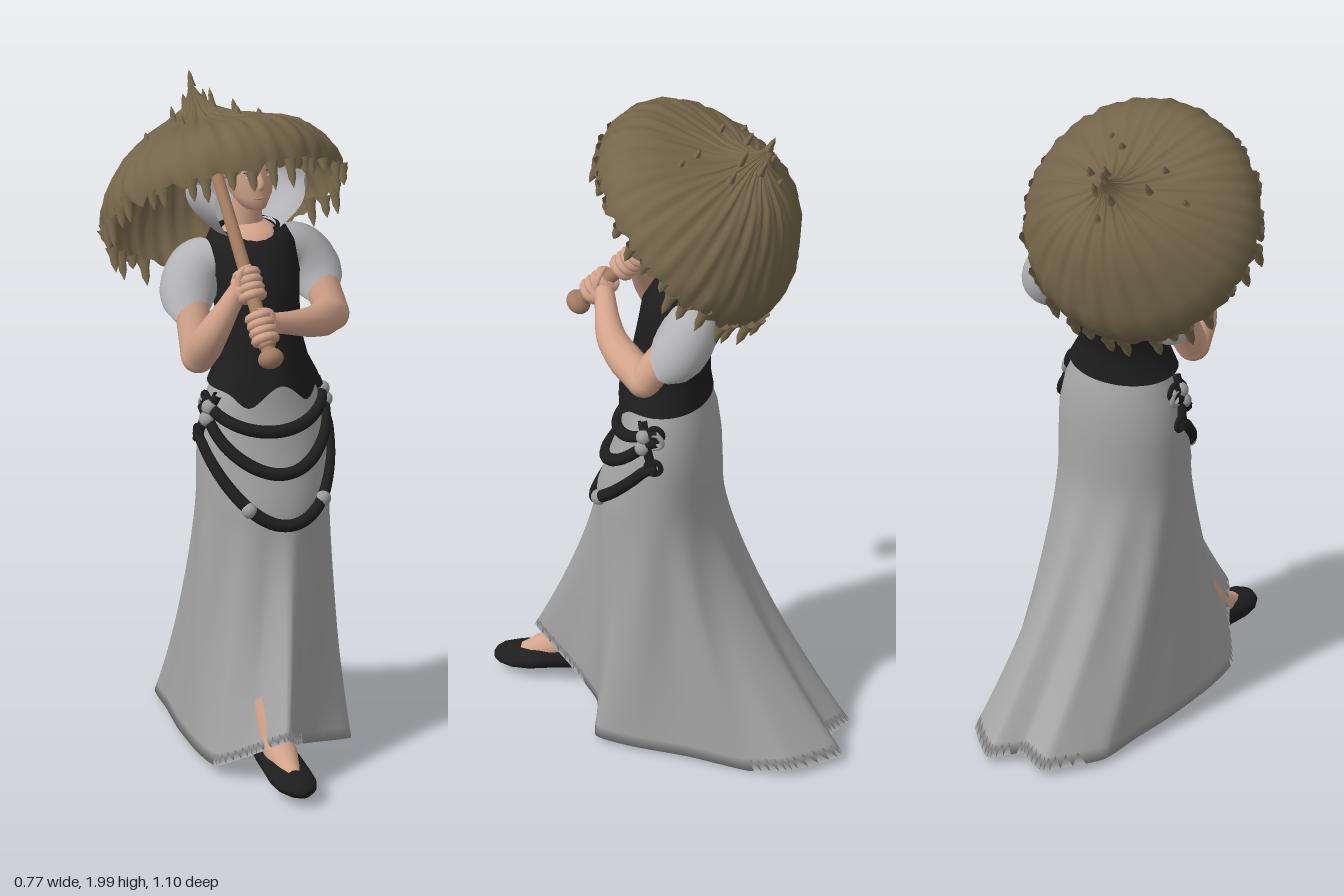
import * as THREE from 'three';

const V = (x, y, z) => new THREE.Vector3(x, y, z);
const mat = (name, color, side = THREE.FrontSide) => {
  const m = new THREE.MeshStandardMaterial({ color, side });
  m.name = name;
  return m;
};

// Closed rings from top to bottom; at(i, a, j) gives a point, a = 0 faces +z
function loft(rows, seg, at) {
  const pos = [], idx = [];
  for (let i = 0; i < rows; i++)
    for (let j = 0; j < seg; j++) pos.push(...at(i, (j / seg) * Math.PI * 2, j).toArray());
  for (let i = 0; i < rows - 1; i++)
    for (let j = 0; j < seg; j++) {
      const k = (j + 1) % seg, a = i * seg + j, b = a + seg, c = (i + 1) * seg + k, d = i * seg + k;
      idx.push(a, b, c, a, c, d);
    }
  const g = new THREE.BufferGeometry();
  g.setAttribute('position', new THREE.Float32BufferAttribute(pos, 3));
  g.setIndex(idx);
  g.computeVertexNormals();
  return g;
}

// Linear lookup in a table of evenly spaced values
function sample(list, u) {
  const f = Math.min(Math.max(u, 0), 1) * (list.length - 1), i = Math.min(Math.floor(f), list.length - 2);
  return THREE.MathUtils.lerp(list[i], list[i + 1], f - i);
}

// Tube whose radius follows a list of values
function limb(points, radii, n = 20, sides = 14) {
  const curve = new THREE.CatmullRomCurve3(points);
  const g = new THREE.TubeGeometry(curve, n, 1, sides);
  const p = g.attributes.position, v = V(0, 0, 0);
  for (let k = 0; k < p.count; k++) {
    const u = Math.floor(k / (sides + 1)) / n, c = curve.getPointAt(u);
    v.fromBufferAttribute(p, k).sub(c).multiplyScalar(sample(radii, u)).add(c);
    p.setXYZ(k, v.x, v.y, v.z);
  }
  return g;
}

export function createModel() {
  const D = THREE.DoubleSide;
  const grey = mat('skirt grey', 0xa6a6a6, D), pale = mat('linen grey', 0xb3b3b5, D);
  const black = mat('black cloth', 0x1e1e1e, D), hairMat = mat('hair black', 0x141312);
  const skin = mat('skin', 0xd3a48b), brown = mat('straw brown', 0x74664a, D);
  const wood = mat('wood', 0xa47d62), metal = mat('metal', 0x9b9b9b), lipMat = mat('lips', 0xb98371);
  const root = new THREE.Group();
  let seed = 7;
  const rnd = () => (seed = (seed * 16807) % 2147483647) / 2147483647;
  const add = (name, geo, m, parent = root) => {
    const o = new THREE.Mesh(geo, m);
    o.name = name;
    parent.add(o);
    return o;
  };
  const ball = (name, m, x, y, z, sx, sy = sx, sz = sx, parent = root) => {
    const o = add(name, new THREE.SphereGeometry(1, 18, 12), m, parent);
    o.position.set(x, y, z);
    o.scale.set(sx, sy, sz);
    return o;
  };

  // Skirt: hip ellipses that sweep out into an uneven trailing hem
  const hip = (y, a, off = 0) => {
    const u = (1.16 - y) / 0.36;
    const rx = sample([0.14, 0.175, 0.193, 0.195, 0.195], u) + off;
    const front = sample([0.11, 0.125, 0.15, 0.18, 0.207], u) + off;
    const back = sample([0.115, 0.14, 0.15, 0.153, 0.155], u) + off;
    return V(0.1 + rx * Math.sin(a), y, Math.cos(a) * (Math.cos(a) > 0 ? front : back));
  };
  const hem = new THREE.CatmullRomCurve3([
    [0, 0.17, 0.425], [0.08, 0.1, 0.3], [0.17, 0.05, 0.195], [0.31, 0.03, 0.165], [0.325, 0.02, 0.05],
    [0.335, 0.02, -0.12], [0.348, 0.01, -0.3], [0.342, 0.03, -0.43], [0.232, 0.03, -0.55], [0.15, 0.04, -0.497],
    [0.055, 0.03, -0.528], [-0.065, 0.03, -0.39], [-0.09, 0.03, -0.25], [-0.12, 0.03, -0.1],
    [-0.14, 0.03, 0.08], [-0.14, 0.04, 0.22], [-0.07, 0.1, 0.32]].map(p => V(...p)), true, 'catmullrom', 0.25);
  const SEG = 102, hemAt = j => hem.getPoint(j / SEG);
  add('skirt', loft(33, SEG, (i, a, j) => {
    if (i < 9) return hip(1.16 - 0.045 * i, a);
    const h = hemAt(j);
    if (i > 30) { // underside folds inward
      const s = i === 31 ? 0.75 : 0.02;
      return V(0.1 + (h.x - 0.1) * s, i === 31 ? h.y + 0.05 : 0.13, -0.05 + (h.z + 0.05) * s);
    }
    const t = (i - 8) / 22, p = hip(0.8, a), w = t ** 1.5;
    const fold = 0.007 * Math.sin(a * 9 + 1) * Math.sin(t * Math.PI);
    return V(p.x + (h.x - p.x) * w + fold * Math.sin(a), 0.8 + (h.y - 0.8) * t, p.z + (h.z - p.z) * w + fold * Math.cos(a));
  }), grey);

  // Draped belts with metal fittings
  const belts = [[1.09, 0.07], [1.07, 0.17], [0.99, 0.24]];
  belts.forEach(([y, drop], b) => {
    const at = (a, off = 0.006) => hip(y - drop * Math.max(0, Math.cos(a)) ** 1.3, a, off);
    const pts = [];
    for (let k = 0; k <= 16; k++) pts.push(at(-1.65 + (3.3 * k) / 16));
    add('belt', limb(pts, [0.016, 0.019, 0.019, 0.016], 56, 10), black);
    for (const s of [-1, 1]) {
      const p = at(s * (b === 2 ? 0.6 : 1.35), 0.011);
      ball('buckle', metal, p.x, p.y, p.z, 0.023);
      const ring = add('beltRing', new THREE.TorusGeometry(0.022, 0.008, 8, 20), b === 1 ? metal : black);
      ring.position.copy(at(s * 1.6));
      ring.rotation.y = Math.PI / 2;
    }
  });
  for (const s of [-1, 1])
    add('hipStrap', limb([1.12, 1.05, 0.97].map((y, k) => hip(y, s * (1.25 + 0.18 * k), 0.008)), [0.014, 0.014], 12, 8), black);

  // Bodice with a pointed lower edge: y, half width, centre z, half depth
  const body = [[1.575, 0.085, -0.1, 0.07], [1.56, 0.115, -0.095, 0.1], [1.525, 0.132, -0.085, 0.122],
    [1.45, 0.135, -0.06, 0.137], [1.38, 0.126, -0.042, 0.13], [1.28, 0.118, -0.008, 0.114],
    [1.2, 0.135, 0.004, 0.125], [1.14, 0.165, 0.008, 0.135]];
  add('bodice', loft(body.length, 64, (i, a) => {
    const [y, rx, cz, rz] = body[i], b = Math.min(a, Math.PI * 2 - a);
    const point = i === 7 ? 0.02 * Math.exp(-((b / 0.25) ** 2)) - 0.045 * Math.exp(-(((b - 0.6) / 0.28) ** 2)) : 0;
    return V(0.1 + rx * Math.sin(a), y + point, cz + rz * Math.cos(a));
  }), black);
  ball('upperChest', skin, 0.1, 1.54, -0.085, 0.088, 0.055, 0.095);
  add('neck', limb([V(0.1, 1.53, -0.11), V(0.1, 1.6, -0.105), V(0.1, 1.7, -0.095)], [0.06, 0.043, 0.042]), skin);

  // Standing collar, flared and open at the front
  const collar = new THREE.CylinderGeometry(1, 1, 1, 48, 8, true, 0.95, Math.PI * 2 - 1.9);
  const cp = collar.attributes.position;
  for (let k = 0; k < cp.count; k++) {
    const t = cp.getY(k) + 0.5, a = Math.atan2(cp.getX(k), cp.getZ(k)), r = 0.09 + 0.085 * Math.sin(t * 1.9);
    cp.setXYZ(k, r * Math.sin(a), t * (0.16 + 0.02 * Math.cos(a * 5)), r * Math.cos(a));
  }
  collar.computeVertexNormals();
  add('collar', collar, pale).position.set(0.1, 1.56, -0.11);

  // Head: y, half width, centre z, half depth
  const skull = [[1.87, 0.003, -0.1, 0.003], [1.86, 0.04, -0.1, 0.045], [1.83, 0.064, -0.1, 0.078], [1.78, 0.073, -0.1, 0.088],
    [1.73, 0.07, -0.092, 0.083], [1.69, 0.06, -0.08, 0.075], [1.655, 0.036, -0.062, 0.054], [1.64, 0.003, -0.055, 0.003]];
  add('head', loft(skull.length, 32, (i, a) => {
    const [y, rx, cz, rz] = skull[i];
    return V(0.1 + rx * Math.sin(a), y, cz + rz * Math.cos(a));
  }), skin);
  add('nose', limb([V(0.1, 1.77, -0.014), V(0.1, 1.735, 0.001), V(0.1, 1.72, -0.008)], [0.006, 0.011, 0.008]), skin);
  ball('mouth', lipMat, 0.1, 1.692, -0.009, 0.018, 0.005, 0.007);
  for (const s of [-1, 1]) {
    ball('ear', skin, 0.1 + s * 0.072, 1.755, -0.1, 0.01, 0.024, 0.016);
    ball('eye', pale, 0.1 + s * 0.03, 1.755, -0.02, 0.013, 0.005, 0.006);
    ball('brow', hairMat, 0.1 + s * 0.032, 1.772, -0.02, 0.016, 0.0025, 0.005);
  }
  // Curled hair over the crown and nape
  ball('hairCap', hairMat, 0.1, 1.84, -0.108, 0.073, 0.055, 0.088);
  ball('hairBack', hairMat, 0.1, 1.79, -0.13, 0.075, 0.075, 0.072);
  for (let k = 0; k < 48; k++) {
    const a = k * 2.4, h = k / 48, r = Math.sqrt(1 - h * h);
    ball('curl', hairMat, 0.1 + 0.07 * r * Math.sin(a), 1.828 + 0.053 * h + 0.008 * rnd(), -0.108 + 0.08 * r * Math.cos(a), 0.016 + 0.006 * rnd());
  }

  // Puffed sleeves and bent arms
  const arms = [[1, V(0.315, 1.305, 0.02), V(0.2, 1.345, 0.14), V(0.02, 1.4, 0.215)],
    [-1, V(-0.115, 1.25, 0.035), V(-0.1, 1.34, 0.1), V(-0.025, 1.485, 0.13)]];
  for (const [s, elbow, mid, wrist] of arms) {
    const X = x => 0.1 + s * x;
    add('sleeve', limb([V(X(0.08), 1.49, -0.1), V(X(0.15), 1.47, -0.105), V(X(0.195), 1.41, -0.08), V(X(0.215), 1.335, -0.03)],
      [0.03, 0.07, 0.083, 0.086, 0.083, 0.07, 0.04], 28, 24), pale);
    add('upperArm', limb([V(X(0.2), 1.42, -0.06), elbow], [0.05, 0.05]), skin);
    ball('elbow', skin, elbow.x, elbow.y, elbow.z, 0.05);
    add('forearm', limb([elbow, mid, wrist], [0.05, 0.052, 0.044, 0.034, 0.028]), skin);
  }

  // Parasol, tilted backwards; its own y axis runs along the pole
  const parasol = new THREE.Group();
  parasol.name = 'parasol';
  parasol.position.set(0, 1.65, 0);
  parasol.rotation.x = -0.735;
  root.add(parasol);
  const rim = [[0.004, 0.42], [0.018, 0.385], [0.045, 0.345], [0.1, 0.315], [0.15, 0.297], [0.2, 0.27], [0.25, 0.237],
    [0.3, 0.19], [0.335, 0.145], [0.355, 0.1], [0.365, 0.05], [0.362, 0]];
  const LAST = rim.length - 1;
  // Dome sagging at the front, with the rim raised at the sides and drawn in at the front
  const canopyAt = (i, a) => {
    const [r, h] = rim[i], t = i / LAST, edge = Math.max(0, (i - 7) / (LAST - 7)) ** 2, c = Math.cos(a);
    const ridge = 0.0022 * Math.sin(a * 23 + 6 * t) + 0.002 * Math.sin(a * 41 - 5 * t);
    const R = r * (1 - 0.09 * edge * Math.max(0, c)) + ridge * Math.min(1, r * 5);
    const sag = r < 0.3 ? -0.14 * c * (r / 0.3) * (1 - r / 0.3) : 0;
    const lift = edge * (0.05 * Math.sin(a) ** 2 + 0.025 * Math.max(0, c) + 0.01 * Math.sin(a * 29) + 0.007 * Math.sin(a * 13));
    return V(R * Math.sin(a), h + sag + lift + ridge, R * c);
  };
  add('canopy', loft(rim.length, 144, canopyAt), brown, parasol);
  for (let k = 0; k < 34; k++) { // ragged fringe
    const a = ((k + 0.7 * rnd()) / 34) * Math.PI * 2, len = 0.015 + 0.05 * rnd(), o = canopyAt(LAST, a);
    const tip = q => V(o.x, o.y + 0.015 - q, o.z - 0.35 * q);
    add('fringe', limb([tip(0), tip(len * 0.6), tip(len + 0.02)], [0.022, 0.014, 0.012, 0.001], 6, 8), brown, parasol);
  }
  const spikes = [[0, 0, 0.04], [0.8, 2, 0.05], [2.2, 2, 0.045], [3.6, 2, 0.04], [5, 3, 0.045],
    [1.3, 3, 0.035], [0.4, 4, 0.025], [5.5, 4, 0.03], [4.9, 5, 0.02], [0.6, 5, 0.02], [3.1, 3, 0.025]];
  for (const [a, i, len] of spikes) {
    const o = canopyAt(i, a), up = q => V(o.x, o.y - 0.008 + q, o.z + q * 0.3);
    const g = limb([up(0), up(len * 0.6), up(len + 0.008)], [0.014, 0.009, 0.007, 0], 8, 8);
    g.computeVertexNormals();
    add('spike', g, brown, parasol);
  }
  add('pole', limb([V(0, -0.43, 0), V(0, 0, 0), V(0, 0.36, 0)], [0.022, 0.02, 0.018, 0.016]), wood, parasol);
  ball('handleKnob', wood, 0, -0.44, 0, 0.038, 0.03, 0.038, parasol);
  ball('handleCollar', wood, 0, -0.4, 0, 0.026, 0.014, 0.026, parasol);
  // Hands closed around the pole
  for (const [y, s] of [[-0.345, 1], [-0.21, -1]]) {
    ball('palm', skin, s * 0.016, y, -0.012, 0.036, 0.048, 0.032, parasol);
    for (let f = 0; f < 4; f++) {
      const finger = add('finger', new THREE.TorusGeometry(0.029, 0.014, 8, 18), skin, parasol);
      finger.position.set(0, y - 0.036 + f * 0.023, 0);
      finger.rotation.x = Math.PI / 2;
    }
    add('thumb', limb([V(s * 0.035, y, 0.005), V(s * 0.025, y + 0.035, 0.027), V(-s * 0.01, y + 0.05, 0.028)], [0.014, 0.012, 0.004], 10, 8), skin, parasol);
  }

  // Stepping foot in a low round-toed shoe: z, half width, sole y, top y
  const shoe = [[0.545, 0.003, 0.05, 0.055], [0.538, 0.025, 0.037, 0.068], [0.52, 0.045, 0.032, 0.078], [0.48, 0.062, 0.03, 0.086],
    [0.43, 0.066, 0.032, 0.1], [0.37, 0.062, 0.04, 0.125], [0.3, 0.055, 0.05, 0.135], [0.24, 0.045, 0.06, 0.145], [0.2, 0.03, 0.075, 0.14], [0.19, 0.003, 0.1, 0.11]];
  add('shoe', loft(shoe.length, 28, (i, a) => {
    const [z, w, lo, hi] = shoe[i];
    return V(w * Math.sin(a), (lo + hi) / 2 - ((hi - lo) / 2) * Math.cos(a), z);
  }), black);
  add('foot', limb([V(0, 0.073, 0.455), V(0, 0.09, 0.41), V(0, 0.13, 0.34), V(0, 0.24, 0.26)], [0.025, 0.048, 0.049, 0.046]), skin);
  return root;
}
